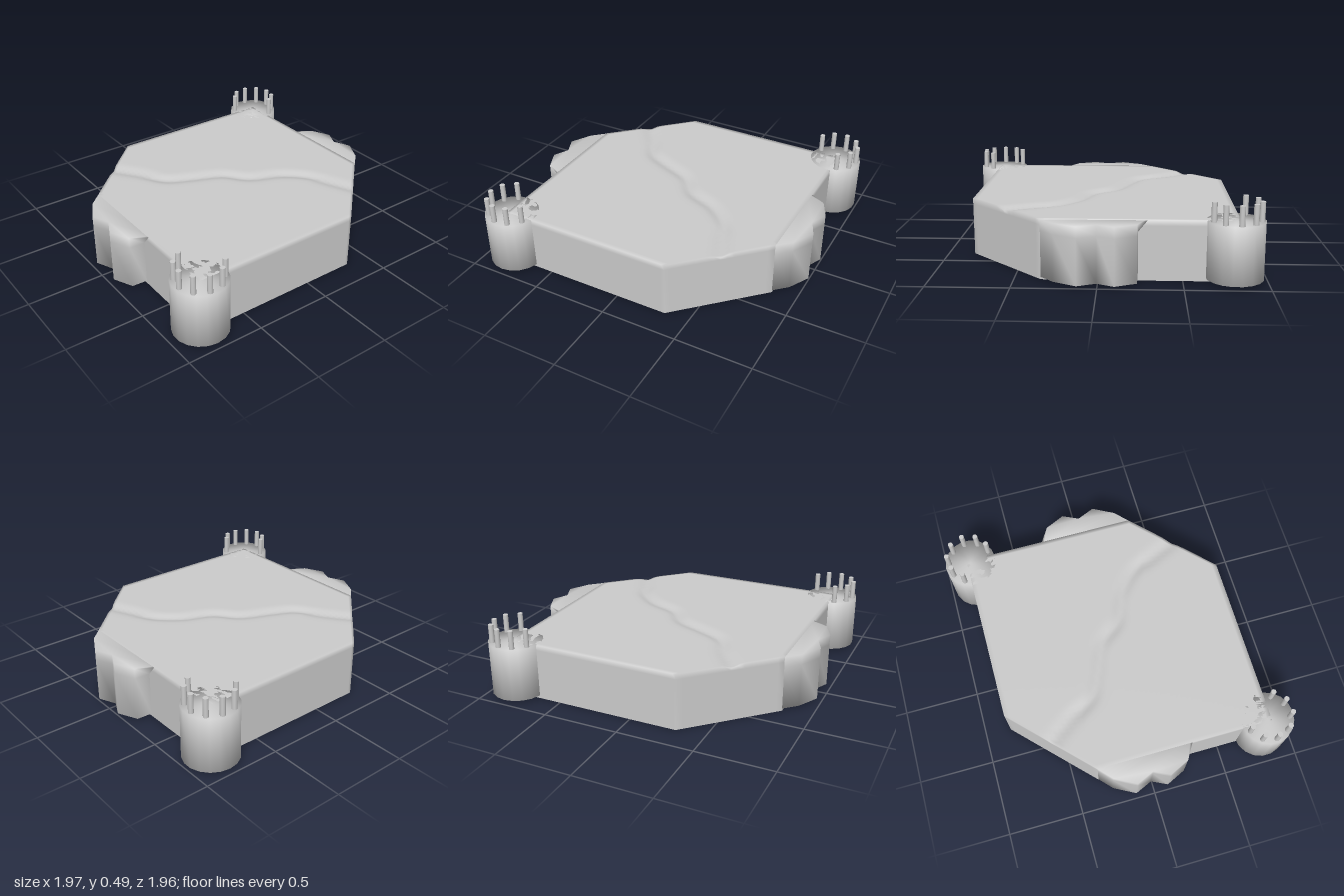
import * as THREE from 'three';

const TOP = 0.37;
const CX = 0.015; // axis of the half-turn symmetry

const material = () => new THREE.MeshStandardMaterial({ color: 0xcccccc });

function add(parent, name, geometry) {
  const mesh = new THREE.Mesh(geometry, material());
  mesh.name = name;
  parent.add(mesh);
  return mesh;
}

function build(positions, index) {
  const g = new THREE.BufferGeometry();
  g.setAttribute('position', new THREE.Float32BufferAttribute(positions, 3));
  g.setIndex(index);
  g.computeVertexNormals();
  return g;
}

// Winding stream cut into the top
const stream = new THREE.CatmullRomCurve3([
  [-0.6, -0.62], [-0.45, -0.42], [-0.35, -0.25], [-0.2, -0.17], [0, -0.08],
  [0.12, 0.06], [0.32, 0.15], [0.46, 0.28], [0.52, 0.42], [0.6, 0.6],
].map(([x, z]) => new THREE.Vector3(x, 0, z))).getPoints(100);

function groundHeight(x, z) {
  let d2 = Infinity;
  for (const p of stream) d2 = Math.min(d2, (p.x - x) ** 2 + (p.z - z) ** 2);
  return TOP - 0.02 * Math.exp(-d2 / 0.0016);
}

// Six-sided slab: gridded top with smooth walls below its rim
function platformGeometry() {
  const rows = [], cols = 60;
  const span = (a, b, n) => { for (let i = 0; i < n; i++) rows.push(a + (b - a) * i / n); };
  span(-0.83, -0.34, 16);
  span(-0.34, 0.34, 22);
  span(0.34, 0.83, 16);
  rows.push(0.83);
  const cut = z => 0.5 * Math.max(0, (z - 0.34) / 0.49);
  const pos = [], index = [];
  for (const z of rows) {
    const left = -0.81 + cut(-z), right = 0.84 - cut(z);
    for (let i = 0; i <= cols; i++) {
      const x = left + (right - left) * i / cols;
      pos.push(x, groundHeight(x, z), z);
    }
  }
  const at = (r, c) => r * (cols + 1) + c, last = rows.length - 1;
  for (let r = 0; r < last; r++) {
    for (let c = 0; c < cols; c++) {
      index.push(at(r, c), at(r + 1, c), at(r + 1, c + 1), at(r, c), at(r + 1, c + 1), at(r, c + 1));
    }
  }
  // rim, running back-left, front-left, front-right, back-right
  let rim = [];
  for (let r = 0; r < last; r++) rim.push(at(r, 0));
  for (let c = 0; c < cols; c++) rim.push(at(last, c));
  for (let r = last; r > 0; r--) rim.push(at(r, cols));
  for (let c = cols; c > 0; c--) rim.push(at(0, c));
  for (const y of [0.335, 0.03, 0]) {
    const next = rim.map(k => {
      pos.push(pos[k * 3], y, pos[k * 3 + 2]);
      return pos.length / 3 - 1;
    });
    rim.forEach((a, i) => {
      const j = (i + 1) % rim.length;
      index.push(a, next[i], next[j], a, next[j], rim[j]);
    });
    rim = next;
  }
  return build(pos, index);
}

// Flat underside
function undersideGeometry() {
  const outline = [[-0.31, -0.83], [0.84, -0.83], [0.84, 0.34], [0.34, 0.83], [-0.81, 0.83], [-0.81, -0.34]];
  return new THREE.ShapeGeometry(new THREE.Shape(outline.map(p => new THREE.Vector2(...p)))).rotateX(Math.PI / 2);
}

// Scalloped side lobe with softly shaded edges
function lobeGeometry() {
  const outline = [[0.8, -0.29], [0.84, -0.29], [0.94, -0.23], [1, -0.1], [0.95, 0.005],
    [1, 0.12], [0.925, 0.26], [0.84, 0.34], [0.8, 0.34]];
  const n = outline.length, pos = [], index = [];
  const levels = [0.015, 0.3, TOP - 0.002];
  levels.forEach((y, k) => outline.forEach(([x, z]) => {
    // the back corner is undercut beneath its top edge
    pos.push(x - CX, y, k < 2 ? Math.max(z, -0.235) : z);
  }));
  for (let k = 0; k < 2; k++) {
    for (let i = 0; i < n; i++) {
      const j = (i + 1) % n, a = k * n + i, b = k * n + j;
      index.push(a, b + n, b, a, a + n, b + n);
    }
  }
  const faces = THREE.ShapeUtils.triangulateShape(outline.map(p => new THREE.Vector2(...p)), []);
  for (const [a, b, c] of faces) {
    index.push(a, b, c);
    index.push(2 * n + a, 2 * n + c, 2 * n + b);
  }
  return build(pos, index);
}

// Round corner tower with a broken ring of posts
function makeTower() {
  const tower = new THREE.Group();
  tower.name = 'cornerTower';
  const r = 0.173;
  const profile = [[0, 0.02], [r, 0.02], [r, TOP], [0, TOP]].map(p => new THREE.Vector2(...p));
  add(tower, 'towerBody', new THREE.LatheGeometry(profile, 18));
  for (let i = 0; i < 7; i++) {
    const a = THREE.MathUtils.degToRad(27 + 37 * i);
    const post = add(tower, 'post', new THREE.CylinderGeometry(0.017, 0.017, 0.13, 10));
    post.position.set(0.145 * Math.cos(a), 0.425, 0.145 * Math.sin(a));
  }
  tower.position.set(-0.79 - CX, 0, 0.805);
  return tower;
}

export function createModel() {
  const model = new THREE.Group();
  model.name = 'riverTile';
  add(model, 'platform', platformGeometry());
  add(model, 'underside', undersideGeometry());

  // Lobe and tower repeat after a half turn
  for (const [name, angle] of [['leftSide', 0], ['rightSide', Math.PI]]) {
    const half = new THREE.Group();
    half.name = name;
    add(half, 'sideLobe', lobeGeometry());
    half.add(makeTower());
    half.position.x = CX;
    half.rotation.y = angle;
    model.add(half);
  }
  return model;
}
